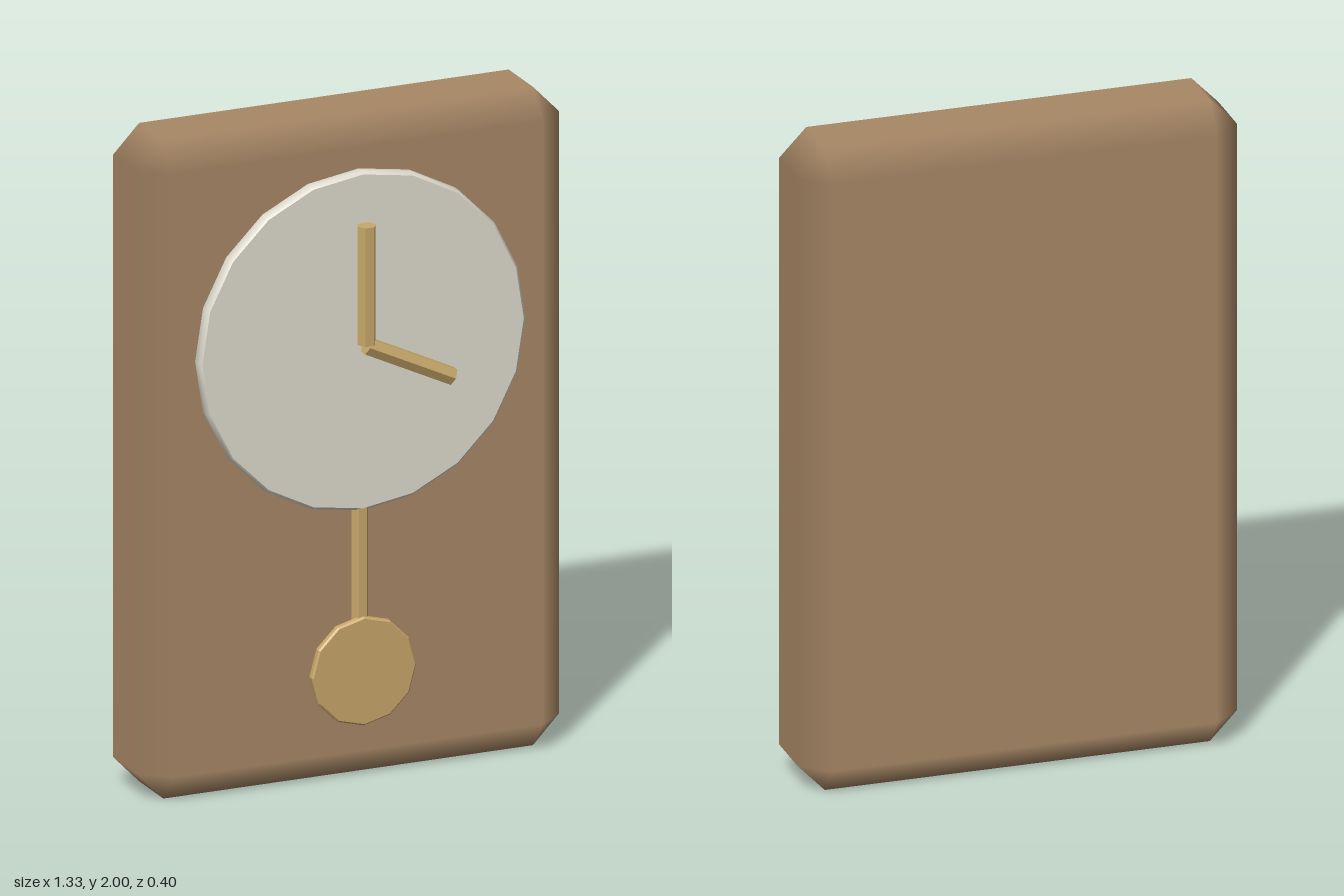
import * as THREE from 'three';

// Box with single-step bevels; each vertex keeps its face normal, so bevels shade smoothly
function bevelBox(half, inset) {
  const pos = [], nor = [], idx = [];
  const id = (axis, s) => axis * 8 + (s[0] > 0 ? 4 : 0) + (s[1] > 0 ? 2 : 0) + (s[2] > 0 ? 1 : 0);
  for (let axis = 0; axis < 3; axis++)
    for (const x of [-1, 1]) for (const y of [-1, 1]) for (const z of [-1, 1]) {
      const s = [x, y, z];
      pos.push(...s.map((v, i) => v * (half[i] - (i === axis ? 0 : inset[i]))));
      nor.push(...s.map((v, i) => (i === axis ? v : 0)));
    }
  const point = (i) => new THREE.Vector3().fromArray(pos, i * 3);
  const tri = (a, b, c) => { // turned outward
    const A = point(a), n = point(b).sub(A).cross(point(c).sub(A));
    if (n.dot(A) > 0) idx.push(a, b, c); else idx.push(a, c, b);
  };
  const quad = (a, b, c, d) => { tri(a, b, c); tri(a, c, d); };
  const signs = (i, u, j, v, k, w) => { const s = []; s[i] = u; s[j] = v; s[k] = w; return s; };
  for (let a = 0; a < 3; a++) {
    const b = (a + 1) % 3, c = (a + 2) % 3;
    for (const u of [-1, 1]) {
      // flat face
      quad(...[[-1, -1], [1, -1], [1, 1], [-1, 1]].map(([v, w]) => id(a, signs(a, u, b, v, c, w))));
      // edge bevels between faces a and b
      for (const v of [-1, 1]) {
        const p = signs(a, u, b, v, c, -1), q = signs(a, u, b, v, c, 1);
        quad(id(a, p), id(a, q), id(b, q), id(b, p));
      }
    }
  }
  // corner triangles
  for (const x of [-1, 1]) for (const y of [-1, 1]) for (const z of [-1, 1])
    tri(id(0, [x, y, z]), id(1, [x, y, z]), id(2, [x, y, z]));
  const g = new THREE.BufferGeometry();
  g.setAttribute('position', new THREE.Float32BufferAttribute(pos, 3));
  g.setAttribute('normal', new THREE.Float32BufferAttribute(nor, 3));
  g.setIndex(idx);
  return g;
}

// Disc facing +z with a softened rim and flat faces
function disc(radius, depth, bevel, sides) {
  const h = depth / 2, r = radius, V = (x, y) => new THREE.Vector2(x, y);
  const g = new THREE.LatheGeometry([
    V(0, -h), V(r - bevel, -h), V(r - bevel, -h), V(r, -h + bevel),
    V(r, h - bevel), V(r - bevel, h), V(r - bevel, h), V(0, h),
  ], sides);
  return g.rotateX(Math.PI / 2);
}

export function createModel() {
  const group = new THREE.Group();
  const material = (name, color) => {
    const m = new THREE.MeshStandardMaterial({ color });
    m.name = name;
    return m;
  };
  const wood = material('wood', 0xa88866);
  const ivory = material('ivory', 0xe0ddcf);
  const brass = material('brass', 0xc9a86a);
  brass.flatShading = true;

  const add = (name, geometry, mat, x, y, z) => {
    const mesh = new THREE.Mesh(geometry, mat);
    mesh.name = name;
    mesh.position.set(x, y, z);
    group.add(mesh);
    return mesh;
  };
  // Six-sided bar starting at its origin and running upward
  const bar = (radius, length, turn = 0) =>
    new THREE.CylinderGeometry(radius, radius, length, 6)
      .rotateY(Math.PI / 6 + turn).translate(0, length / 2, 0);

  // Case and dial
  add('case', bevelBox([0.665, 1, 0.155], [0.082, 0.085, 0.07]), wood, 0, 1, -0.043);
  add('dial', disc(0.515, 0.042, 0.008, 20), ivory, 0, 1.34, 0.126);

  // Hands, with a corner of the upright one pointing sideways
  add('minuteHand', bar(0.029, 0.36, Math.PI / 3), brass, 0, 1.34, 0.171);
  const hourHand = add('hourHand', bar(0.028, 0.3, Math.PI / 6), brass, 0, 1.335, 0.17);
  hourHand.rotation.z = -Math.PI / 2 - Math.atan2(0.13, 0.27);

  // Pendulum
  add('pendulumRod', bar(0.026, 0.56), brass, 0, 0.34, 0.124);
  add('pendulumBob', disc(0.165, 0.025, 0.005, 12), brass, 0, 0.34, 0.144);

  return group;
}
